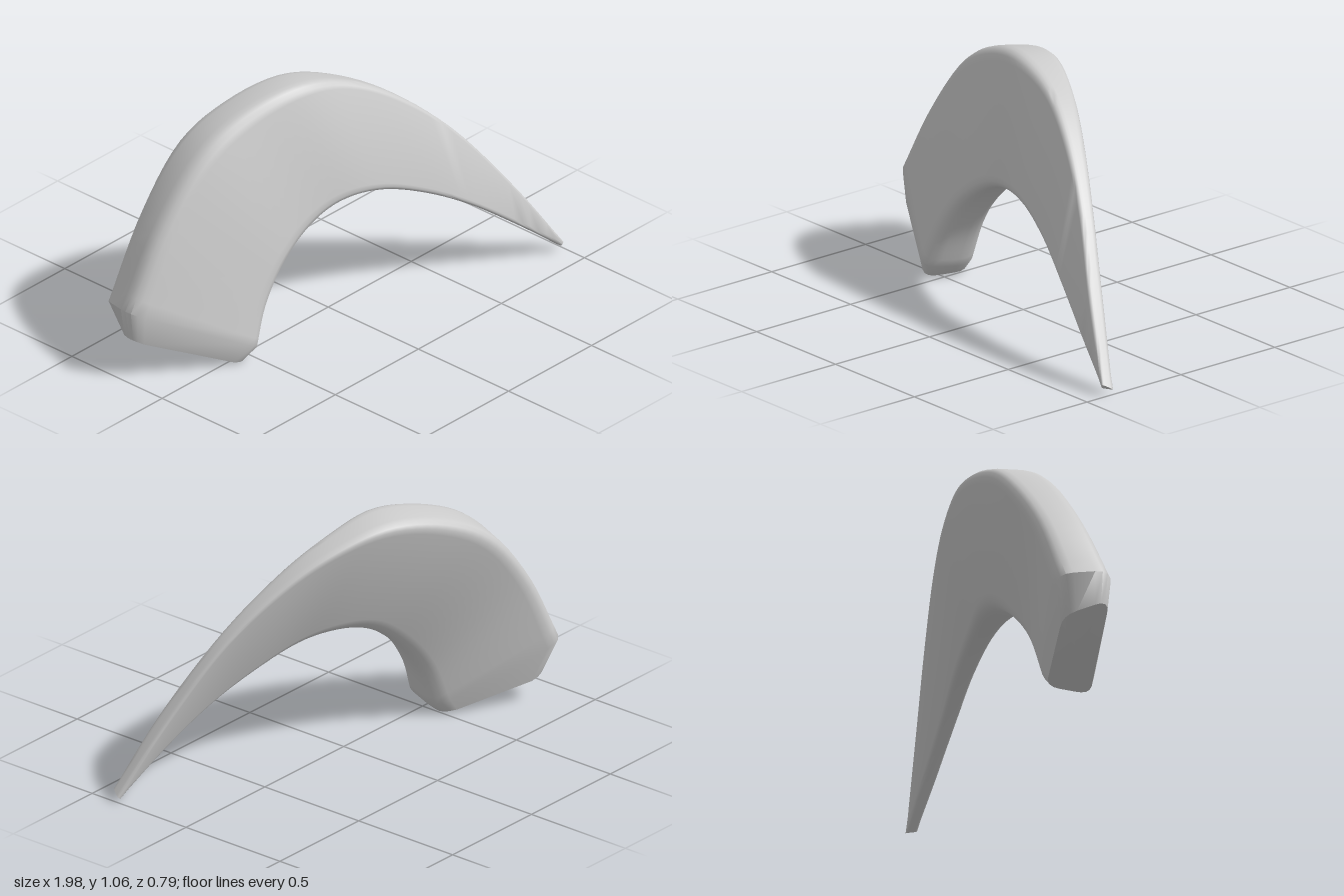
import * as THREE from 'three';
import { toCreasedNormals } from 'three/addons/utils/BufferGeometryUtils.js';

const V = (p) => new THREE.Vector3(...p);

// Four long edges of the claw, from the blunt base to the tip
const edges = [
  // outer front
  [[-1, 0.32, -0.185], [-0.82, 0.62, -0.18], [-0.6, 0.88, -0.16], [-0.38, 1.01, -0.12], [-0.12, 1.065, -0.055],
    [0.12, 1.01, -0.01], [0.34, 0.88, 0.07], [0.57, 0.66, 0.18], [0.79, 0.35, 0.31], [0.98, 0.045, 0.405]],
  // outer back
  [[-0.91, 0.27, -0.41], [-0.74, 0.6, -0.395], [-0.52, 0.86, -0.38], [-0.3, 0.99, -0.32], [-0.05, 1.04, -0.235],
    [0.17, 0.98, -0.13], [0.38, 0.85, -0.01], [0.6, 0.63, 0.125], [0.81, 0.33, 0.25], [1.003, 0.018, 0.36]],
  // inner back
  [[-0.44, 0.04, -0.11], [-0.37, 0.22, -0.11], [-0.26, 0.37, -0.1], [-0.1, 0.5, -0.08], [0.05, 0.54, -0.03],
    [0.21, 0.52, 0.05], [0.4, 0.44, 0.13], [0.59, 0.325, 0.215], [0.79, 0.175, 0.29], [0.985, 0.012, 0.355]],
  // inner front
  [[-0.51, 0.06, 0.11], [-0.44, 0.22, 0.09], [-0.33, 0.37, 0.085], [-0.18, 0.48, 0.09], [-0.02, 0.535, 0.11],
    [0.17, 0.53, 0.155], [0.37, 0.455, 0.215], [0.57, 0.34, 0.285], [0.78, 0.18, 0.35], [0.97, 0.025, 0.4]],
].map((e) => new THREE.CatmullRomCurve3(e.map(V), false, 'catmullrom', 0.5));

// Rounded four-cornered section, 5 points per corner
function section(corners) {
  const pts = [];
  const r = 0.33 * Math.min(corners[0].distanceTo(corners[1]), corners[2].distanceTo(corners[3]));
  corners.forEach((p, i) => {
    const toward = (q) => p.clone().add(q.clone().sub(p).setLength(Math.min(r, p.distanceTo(q) * 0.45)));
    const bend = new THREE.QuadraticBezierCurve3(
      toward(corners[(i + 3) % 4]), p, toward(corners[(i + 1) % 4]));
    pts.push(...bend.getPoints(4));
  });
  return pts;
}

function loft(rings) {
  const n = rings[0].length;
  const positions = [];
  const index = [];
  rings.forEach((ring) => ring.forEach((p) => positions.push(p.x, p.y, p.z)));
  for (let i = 0; i < rings.length - 1; i++) {
    for (let j = 0; j < n; j++) {
      const a = i * n + j;
      const b = i * n + (j + 1) % n;
      index.push(a, a + n, b, b, a + n, b + n);
    }
  }
  // close both ends with fans
  [0, rings.length - 1].forEach((i) => {
    const c = rings[i].reduce((s, p) => s.add(p), new THREE.Vector3()).divideScalar(n);
    const k = positions.length / 3;
    positions.push(c.x, c.y, c.z);
    for (let j = 0; j < n; j++) {
      const a = i * n + j;
      const b = i * n + (j + 1) % n;
      index.push(k, i ? b : a, i ? a : b);
    }
  });
  const geo = new THREE.BufferGeometry();
  geo.setAttribute('position', new THREE.Float32BufferAttribute(positions, 3));
  geo.setIndex(index);
  return toCreasedNormals(geo, 0.75);
}

export function createModel() {
  const group = new THREE.Group();
  group.name = 'curvedClaw';

  // bevelled end of the base, then the sweep towards the tip
  const cap = [[-0.985, 0.19, -0.19], [-0.87, 0.135, -0.345], [-0.49, -0.002, -0.12], [-0.55, 0, 0.06]].map(V);
  const rings = [section(cap)];
  const steps = 48;
  for (let i = 0; i <= steps; i++) rings.push(section(edges.map((e) => e.getPoint(i / steps))));

  // slight bulge across the base end
  rings[0].forEach((p) => {
    const u = THREE.MathUtils.clamp((p.x + 0.98) / 0.46, 0, 1);
    p.y -= 0.03 * Math.sin(Math.PI * u);
  });

  const claw = new THREE.Mesh(loft(rings), new THREE.MeshStandardMaterial({ color: 0xcccccc }));
  claw.name = 'claw';
  group.add(claw);
  return group;
}
